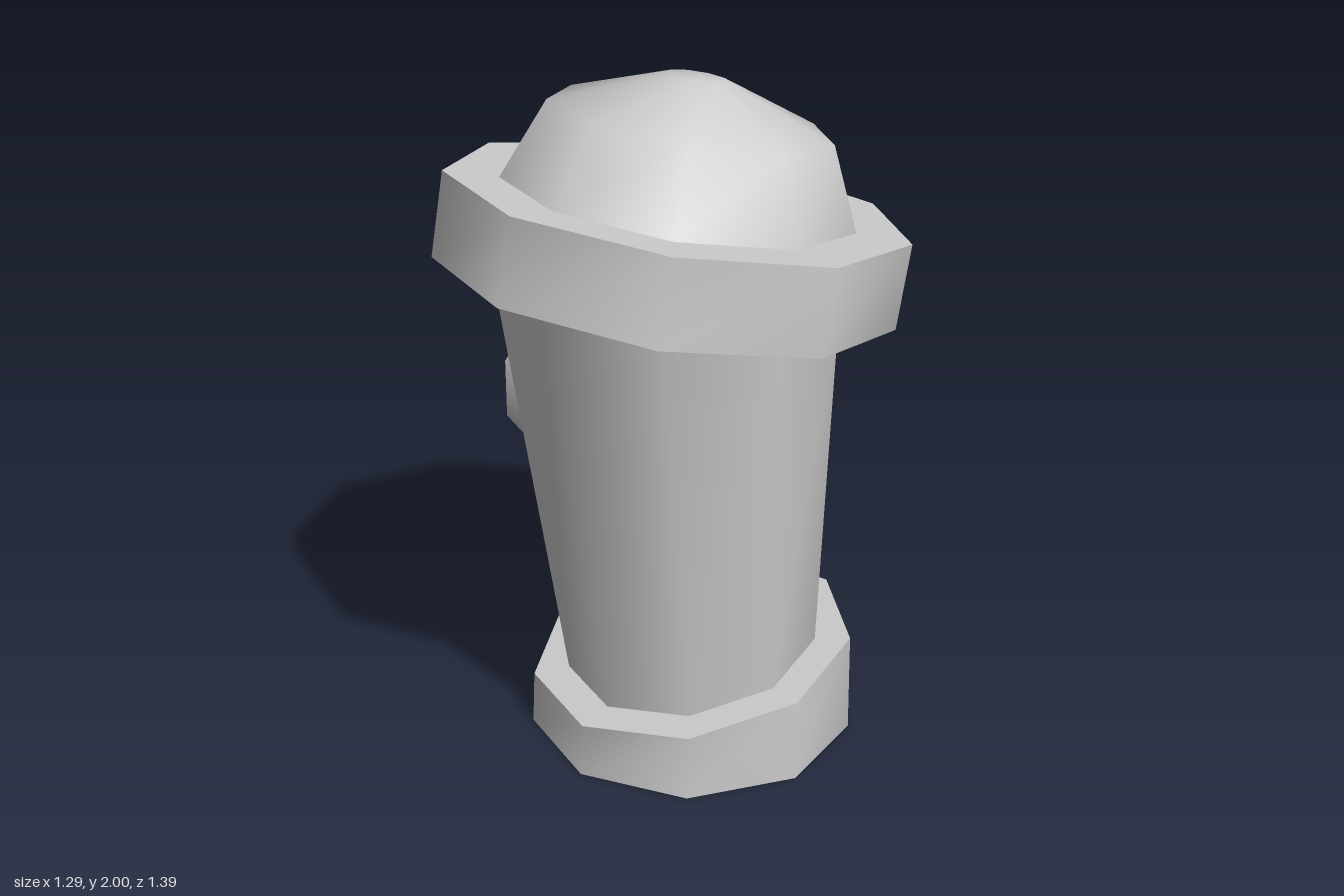
import * as THREE from 'three';

const SIDES = 9;
const TILT = THREE.MathUtils.degToRad(10);
const material = new THREE.MeshStandardMaterial({ color: 0xcccccc, side: THREE.DoubleSide });

// One nine-sided cross-section: centre (x, y), radius, tilt about z.
const ring = (x, y, radius, tilt) => ({ x, y, radius, tilt });

// Skin through a stack of cross-sections; normals are smooth within one skin.
function loft(rings) {
  const positions = [];
  const indices = [];
  rings.forEach((r, i) => {
    for (let k = 0; k < SIDES; k++) {
      const a = (k / SIDES) * Math.PI * 2;
      const c = Math.cos(a) * r.radius;
      positions.push(r.x + c * Math.cos(r.tilt), r.y + c * Math.sin(r.tilt), 0.05 + Math.sin(a) * r.radius);
      if (i === rings.length - 1) continue;
      const p = i * SIDES + k;
      const q = i * SIDES + ((k + 1) % SIDES);
      indices.push(p, p + SIDES, q, q, p + SIDES, q + SIDES);
    }
  });
  const geometry = new THREE.BufferGeometry();
  geometry.setAttribute('position', new THREE.Float32BufferAttribute(positions, 3));
  geometry.setIndex(indices);
  geometry.computeVertexNormals();
  return geometry;
}

export function createModel() {
  const model = new THREE.Group();
  const add = (name, geometry) => {
    const mesh = new THREE.Mesh(geometry, material);
    mesh.name = name;
    model.add(mesh);
  };

  const baseBottom = ring(0.046, 0, 0.487, 0);
  const baseTop = ring(0.047, 0.241, 0.487, TILT);
  const bodyBottom = ring(0.047, 0.241, 0.38, TILT);
  const bodyTop = ring(-0.041, 1.41, 0.493, -TILT);
  const collarBottom = ring(-0.042, 1.41, 0.653, -TILT);
  const collarTop = ring(0, 1.65, 0.653, -TILT);
  const domeBottom = ring(0, 1.65, 0.498, -TILT);

  // Open foot with a slanted ledge
  add('baseWall', loft([baseBottom, baseTop]));
  add('baseLedge', loft([baseTop, bodyBottom]));

  // Hollow flared body
  add('body', loft([bodyBottom, bodyTop]));

  // Tilted collar
  add('collarUnderside', loft([bodyTop, collarBottom]));
  add('collarWall', loft([collarBottom, collarTop]));
  add('collarLedge', loft([collarTop, domeBottom]));

  // Smooth domed cap, closed at its small flat crown
  add('dome', loft([
    domeBottom,
    ring(0.038, 1.874, 0.398, -TILT),
    ring(0.058, 1.985, 0.084, -TILT),
    ring(0.058, 1.985, 0, -TILT),
  ]));

  // Oval outlet flaring out of the back
  const outlet = new THREE.CylinderGeometry(0.242, 0.183, 0.475, SIDES, 1, false, Math.PI / 2);
  outlet.rotateX(-Math.PI / 2);
  outlet.scale(1, 1.13, 1);
  outlet.translate(0.01, 0.845, -0.4575);
  add('outlet', outlet);

  return model;
}
